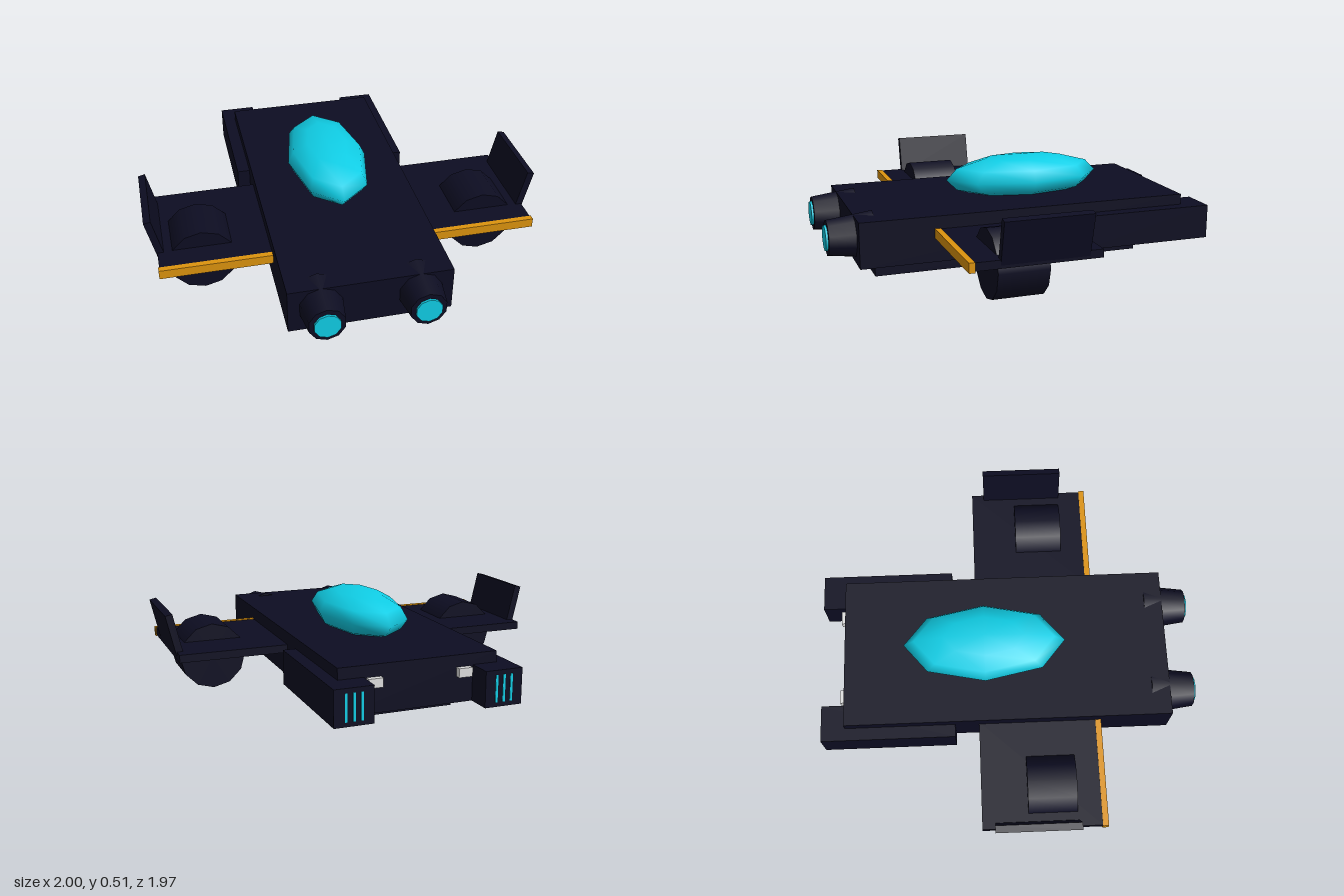
import * as THREE from 'three';

const mat = (name, color, flatShading = false) => {
  const m = new THREE.MeshStandardMaterial({ color, flatShading });
  m.name = name;
  return m;
};

export function createModel() {
  const model = new THREE.Group();
  model.name = 'spacecraft';
  const navy = mat('darkNavy', 0x0d0d22);
  const cyan = mat('cyan', 0x10d0e8);
  const amber = mat('amber', 0xdc930e);
  const white = mat('paleGrey', 0xe0e0e0);

  const add = (name, geometry, material, parent = model) => {
    const mesh = new THREE.Mesh(geometry, material);
    mesh.name = name;
    parent.add(mesh);
    return mesh;
  };
  // Box given by its extents on each axis
  const box = (name, material, [x0, x1], [y0, y1], [z0, z1], parent) => {
    const g = new THREE.BoxGeometry(x1 - x0, y1 - y0, z1 - z0);
    g.translate((x0 + x1) / 2, (y0 + y1) / 2, (z0 + z1) / 2);
    return add(name, g, material, parent);
  };
  // Faceted drum along z, from z0 (radius r0) to z1 (radius r1)
  const drum = (name, material, x, y, z0, z1, r0, r1, sides, parent) => {
    const g = new THREE.CylinderGeometry(r1, r0, z1 - z0, sides);
    g.rotateX(Math.PI / 2);
    g.translate(x, y, (z0 + z1) / 2);
    return add(name, g, material, parent);
  };

  // Central body
  box('hull', navy, [-0.4, 0.4], [0.09, 0.32], [-0.86, 0.845]);
  box('belly', navy, [-0.275, 0.275], [0.005, 0.09], [-0.655, 0.75]);
  const canopy = add('canopy', new THREE.SphereGeometry(1, 8, 6), cyan);
  canopy.scale.set(0.21, 0.115, 0.4225);
  canopy.position.set(0, 0.395, -0.118);

  // Paired parts
  for (const s of [1, -1]) {
    const side = new THREE.Group();
    side.name = s > 0 ? 'leftSide' : 'rightSide';
    model.add(side);
    const span = (a, b) => (s > 0 ? [a, b] : [-b, -a]);

    // Wing with its leading edge, drum and canted winglet
    box('wing', navy, span(0.39, 0.95), [0.215, 0.255], [-0.16, 0.447], side);
    box('wingLeadingEdge', amber, span(0.39, 0.955), [0.21, 0.258], [0.447, 0.477], side);
    drum('wingDrum', navy, s * 0.73, 0.17, 0.075, 0.325, 0.17, 0.17, 12, side);
    const winglet = add('winglet', new THREE.BoxGeometry(0.036, 0.215, 0.425), navy, side);
    winglet.position.set(s * 0.957, 0.338, 0.118);
    winglet.rotation.z = -s * 0.23;

    // Nose lamp in a tapered housing
    drum('lampHousing', navy, s * 0.24, 0.215, 0.75, 0.975, 0.12, 0.09, 10, side);
    drum('lamp', cyan, s * 0.24, 0.215, 0.965, 0.986, 0.065, 0.065, 10, side);

    // Rear pod with glowing vents
    box('rearPod', navy, span(0.275, 0.465), [0.09, 0.265], [-0.985, -0.285], side);
    for (const i of [-1, 0, 1]) {
      const x = 0.37 + i * 0.038;
      box('vent', cyan, span(x - 0.006, x + 0.006), [0.112, 0.243], [-0.988, -0.984], side);
    }
    box('tailLight', white, span(0.19, 0.26), [0.217, 0.261], [-0.888, -0.86], side);
  }
  return model;
}
